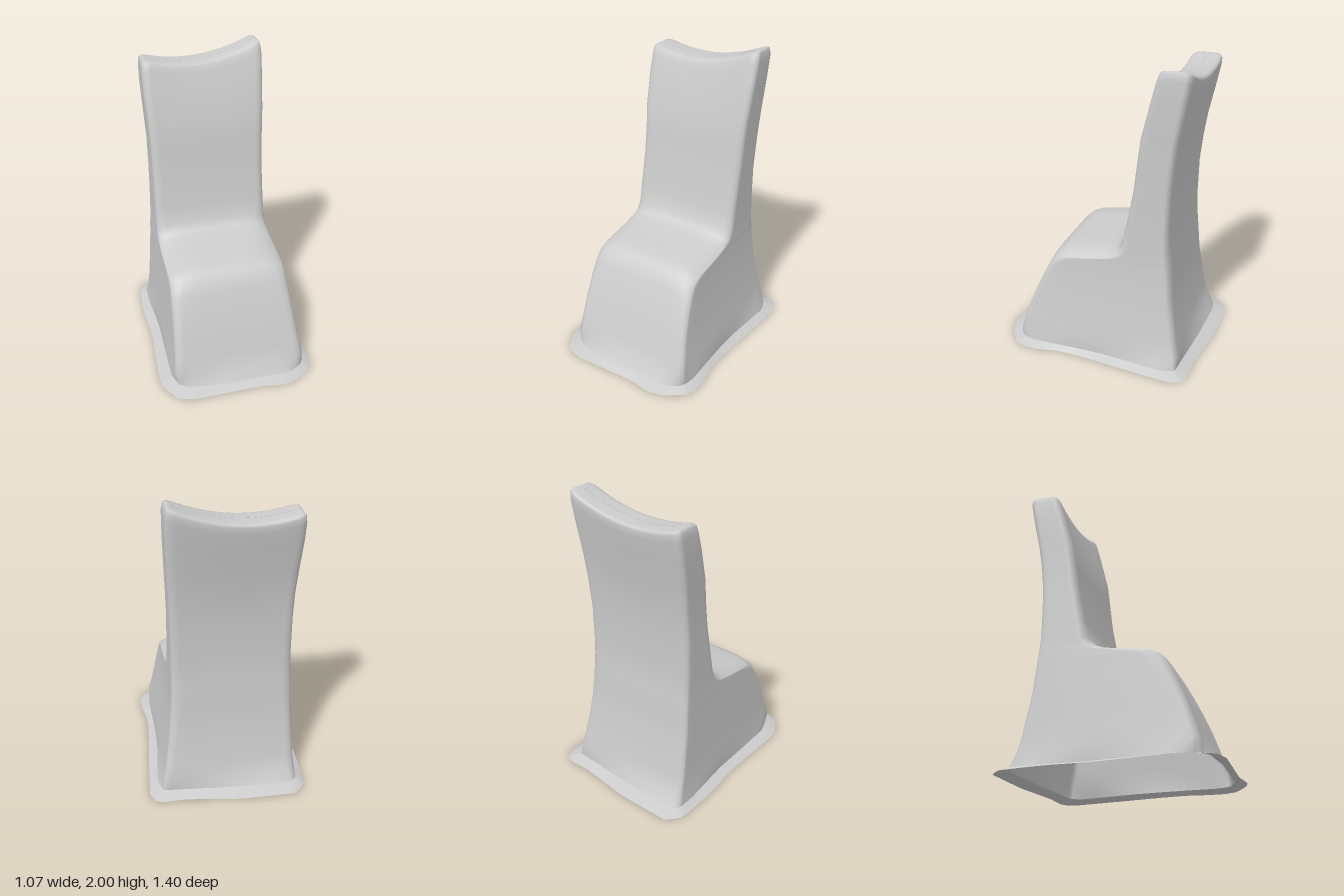
import * as THREE from 'three';

// Cover cross-sections: height, front z, back z, right x, left x, sag of the seat edges
const SECTIONS = [
  [0.11, 0.56, -0.565, -0.445, 0.435, 0],
  [0.20, 0.53, -0.54, -0.437, 0.418, 0],
  [0.35, 0.48, -0.515, -0.43, 0.395, 0],
  [0.50, 0.42, -0.49, -0.424, 0.378, 0.01],
  [0.60, 0.375, -0.483, -0.42, 0.368, 0.025],
  [0.66, 0.345, -0.478, -0.418, 0.364, 0.035],
  [0.70, 0.305, -0.475, -0.417, 0.362, 0.042],
  [0.728, 0.25, -0.473, -0.416, 0.36, 0.048],
  [0.745, 0.15, -0.471, -0.415, 0.36, 0.05],
  [0.76, 0.05, -0.47, -0.415, 0.36, 0.048],
  [0.778, -0.04, -0.468, -0.414, 0.359, 0.045],
  [0.80, -0.10, -0.466, -0.413, 0.358, 0.04],
  [0.845, -0.138, -0.462, -0.412, 0.357, 0.03],
  [0.95, -0.165, -0.456, -0.411, 0.355, 0],
  [1.20, -0.213, -0.46, -0.41, 0.355, 0],
  [1.40, -0.238, -0.478, -0.412, 0.36, 0],
  [1.57, -0.26, -0.50, -0.42, 0.366, 0],
  [1.80, -0.318, -0.543, -0.43, 0.374, 0],
  [1.93, -0.352, -0.566, -0.43, 0.376, 0],
  [1.975, -0.366, -0.57, -0.425, 0.37, 0],
  [1.993, -0.378, -0.565, -0.415, 0.36, 0],
  [2.0, -0.40, -0.545, -0.40, 0.345, 0],
  [2.0, -0.469, -0.471, -0.38, 0.325, 0],
];

// Plan outlines (x, z) of the base of the cover and of the cloth lying on the floor
const HEM = [[-0.45, -0.58], [-0.41, -0.615], [-0.34, -0.62], [0, -0.6], [0.44, -0.555], [0.475, -0.47],
  [0.44, -0.12], [0.435, 0.1], [0.45, 0.5], [0.41, 0.56], [0.32, 0.61], [-0.12, 0.615], [-0.36, 0.59],
  [-0.42, 0.55], [-0.455, 0.46], [-0.45, 0.2], [-0.44, -0.1], [-0.46, -0.48]];
const SKIRT = [[-0.5, -0.62], [-0.43, -0.705], [-0.04, -0.695], [0.13, -0.665], [0.3, -0.64], [0.46, -0.64],
  [0.54, -0.6], [0.51, -0.2], [0.49, 0], [0.475, 0.25], [0.522, 0.47], [0.48, 0.58], [0.35, 0.67],
  [0.25, 0.695], [0.11, 0.67], [-0.35, 0.682], [-0.45, 0.65], [-0.54, 0.5], [-0.52, 0.2],
  [-0.503, -0.05], [-0.52, -0.35]];

// Dipped crest of the backrest, higher on the left
const crest = (x) => 1.89 + 0.5 * (x + 0.13) ** 2;

function ring([y, zf, zb, xr, xl, sag]) {
  const depth = zf - zb;
  const rx = Math.min(0.055 + sag * 0.6, depth * 0.45);
  const rzFront = Math.min(0.04, depth * 0.3), rzBack = Math.min(0.035, depth * 0.3);
  const pts = [];
  const edge = (ax, az, bx, bz, n) => {
    for (let i = 0; i < n; i++) pts.push([ax + (bx - ax) * i / n, az + (bz - az) * i / n]);
  };
  const corner = (cx, cz, rz, start) => {
    for (let i = 0; i < 5; i++) {
      const a = start + i * Math.PI / 10;
      pts.push([cx + rx * Math.cos(a), cz + rz * Math.sin(a)]);
    }
  };
  edge(xr + rx, zf, xl - rx, zf, 14);
  corner(xl - rx, zf - rzFront, rzFront, Math.PI / 2);
  // the corner runs from front to side, so mirror its sweep
  for (let i = 0; i < 5; i++) pts[14 + i][0] = 2 * (xl - rx) - pts[14 + i][0];
  edge(xl, zf - rzFront, xl, zb + rzBack, 12);
  corner(xl - rx, zb + rzBack, -rzBack, 0);
  edge(xl - rx, zb, xr + rx, zb, 14);
  const k = pts.length;
  corner(xr + rx, zb + rzBack, -rzBack, Math.PI / 2);
  edge(xr, zb + rzBack, xr, zf - rzFront, 12);
  const m = pts.length;
  corner(xr + rx, zf - rzFront, rzFront, 0);
  for (let i = 0; i < 5; i++) pts[m + i][0] = 2 * (xr + rx) - pts[m + i][0];
  return pts.map(([x, z]) => {
    const u = Math.min(1, Math.abs((x - (xr + xl) / 2) / ((xl - xr) / 2)));
    const front = Math.max(0, (z - zb) / depth);
    let h = y - sag * u ** 5 * front;
    if (h > 1.2) h = 1.2 + (h - 1.2) * (crest(x) - 1.2) / 0.8;
    return [x, h, z];
  });
}

// Moves the points of a ring radially out to a plan outline
function project(points, outline, height) {
  return points.map(([px, , pz]) => {
    let best = 1;
    outline.forEach(([ax, az], i) => {
      const [bx, bz] = outline[(i + 1) % outline.length];
      const ex = bx - ax, ez = bz - az, d = px * ez - pz * ex;
      if (Math.abs(d) < 1e-9) return;
      const t = (ax * ez - az * ex) / d, s = (ax * pz - az * px) / d;
      if (t > 0 && s >= -1e-6 && s <= 1 + 1e-6) best = t;
    });
    return [px * best, height, pz * best];
  });
}

function loft(rings) {
  const n = rings[0].length, index = [];
  for (let i = 0; i < rings.length - 1; i++) {
    for (let j = 0; j < n; j++) {
      const a = i * n + j, b = i * n + (j + 1) % n;
      index.push(a, b, b + n, a, b + n, a + n);
    }
  }
  const geometry = new THREE.BufferGeometry();
  geometry.setAttribute('position', new THREE.Float32BufferAttribute(rings.flat(2), 3));
  geometry.setIndex(index);
  geometry.computeVertexNormals();
  return geometry;
}

export function createModel() {
  const group = new THREE.Group();
  group.name = 'coveredChair';
  const material = new THREE.MeshStandardMaterial({ color: 0xcccccc, side: THREE.DoubleSide });
  const add = (name, rings) => {
    const mesh = new THREE.Mesh(loft(rings), material);
    mesh.name = name;
    group.add(mesh);
  };

  // Draped cover over seat and backrest, open underneath
  const body = SECTIONS.map(ring);
  const hem = project(body[0], HEM, 0.025);
  add('chairCover', [hem, ...body]);

  // Cloth spreading over the floor
  add('floorSkirt', [project(body[0], SKIRT, 0), hem]);
  return group;
}
